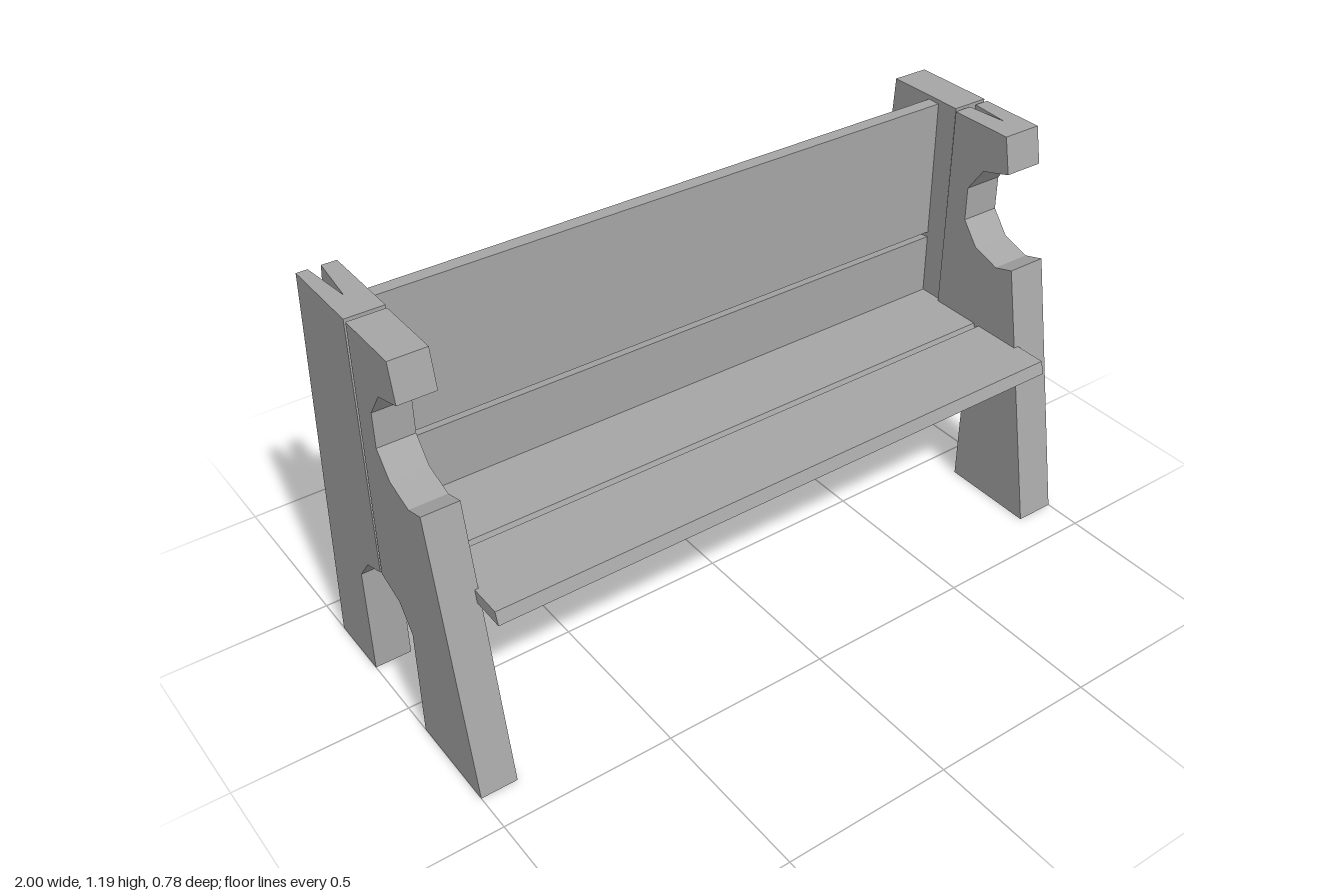
import * as THREE from 'three';
import { ConvexGeometry } from 'three/addons/geometries/ConvexGeometry.js';

const wood = new THREE.MeshStandardMaterial({ color: 0xa6a6a6 });
wood.name = 'grey wood';

// Extrude a (z, y) outline along x, from x0 to x1
function slab(name, outline, x0, x1) {
  const shape = new THREE.Shape(outline.map(([z, y]) => new THREE.Vector2(z, y)));
  const geo = new THREE.ExtrudeGeometry(shape, { depth: x1 - x0, bevelEnabled: false });
  geo.rotateY(-Math.PI / 2);
  geo.translate(x1, 0, 0);
  const mesh = new THREE.Mesh(geo, wood);
  mesh.name = name;
  return mesh;
}

// Upright split along x = xc, with a wedge-shaped crack opening at one top corner.
// The outline must omit the corner: a and b are the points on either side of it.
function crackedSlab(name, outline, a, corner, b, x0, x1, xc, halfWidth) {
  const group = new THREE.Group();
  group.name = name;
  for (const [outer, side] of [[x0, -1], [x1, 1]]) {
    group.add(slab('splitHalf', outline, Math.min(outer, xc), Math.max(outer, xc)));
    const points = [a, corner, b].map(([z, y]) => new THREE.Vector3(outer, y, z));
    points.push(new THREE.Vector3(xc, a[1], a[0]), new THREE.Vector3(xc, b[1], b[0]),
      new THREE.Vector3(xc + side * halfWidth, corner[1], corner[0]));
    const chip = new THREE.Mesh(new ConvexGeometry(points), wood);
    chip.name = 'splitCorner';
    group.add(chip);
  }
  return group;
}

export function createModel() {
  const bench = new THREE.Group();
  bench.name = 'bench';

  // Front half of an end panel: slanted leg, scooped armrest, half of the foot arch
  const frontOutline = [
    [0.095, 0], [0.388, 0], [0.233, 0.802], [0.172, 0.784], [0.085, 0.812], [0.032, 0.878],
    [0.032, 0.98], [0.085, 1.055], [0.18, 1.083], [0.158, 1.19],
  ];
  const frontArch = [[-0.048, 0.436], [0.04, 0.405], [0.095, 0.335]];
  const frontCorner = [-0.043, 1.19];

  // Rear half of an end panel
  const rearOutline = [
    [-0.19, 0], [-0.19, 0.335], [-0.135, 0.405], [-0.057, 0.434], [-0.054, 1.192],
  ];
  const rearCorner = [-0.308, 1.192];
  const rearFoot = [-0.388, 0];

  bench.add(slab('rightFrontPanel', [...frontOutline, frontCorner, ...frontArch], -1, -0.895));
  bench.add(slab('leftRearPanel', [...rearOutline, rearCorner, rearFoot], 0.89, 1));

  // Weathered halves with a crack running down from the top
  const a1 = [-0.15, 1.192], b1 = [-0.334, 0.81];
  bench.add(crackedSlab('rightRearPanel', [...rearOutline, a1, b1, rearFoot],
    a1, rearCorner, b1, -1, -0.893, -0.952, 0.017));
  const a2 = [0.085, 1.19], b2 = [-0.0455, 0.82];
  bench.add(crackedSlab('leftFrontPanel', [...frontOutline, a2, b2, ...frontArch],
    a2, frontCorner, b2, 0.88, 1, 0.945, 0.011));

  // Boards between the end panels, each with one bevelled edge
  const boards = {
    frontSeatBoard: [[0.13, 0.528], [0.386, 0.528], [0.375, 0.565], [0.13, 0.565]],
    rearSeatBoard: [[-0.124, 0.528], [0.121, 0.528], [0.11, 0.565], [-0.124, 0.565]],
    lowerBackBoard: [[-0.165, 0.53], [-0.125, 0.53], [-0.125, 0.748], [-0.165, 0.742]],
    upperBackBoard: [[-0.165, 0.749], [-0.125, 0.764], [-0.125, 1.18], [-0.165, 1.18]],
    backShelf: [[-0.315, 1.005], [-0.165, 1.005], [-0.165, 1.05], [-0.304, 1.05]],
  };
  for (const [name, outline] of Object.entries(boards)) {
    bench.add(slab(name, outline, -0.905, 0.895));
  }

  return bench;
}
